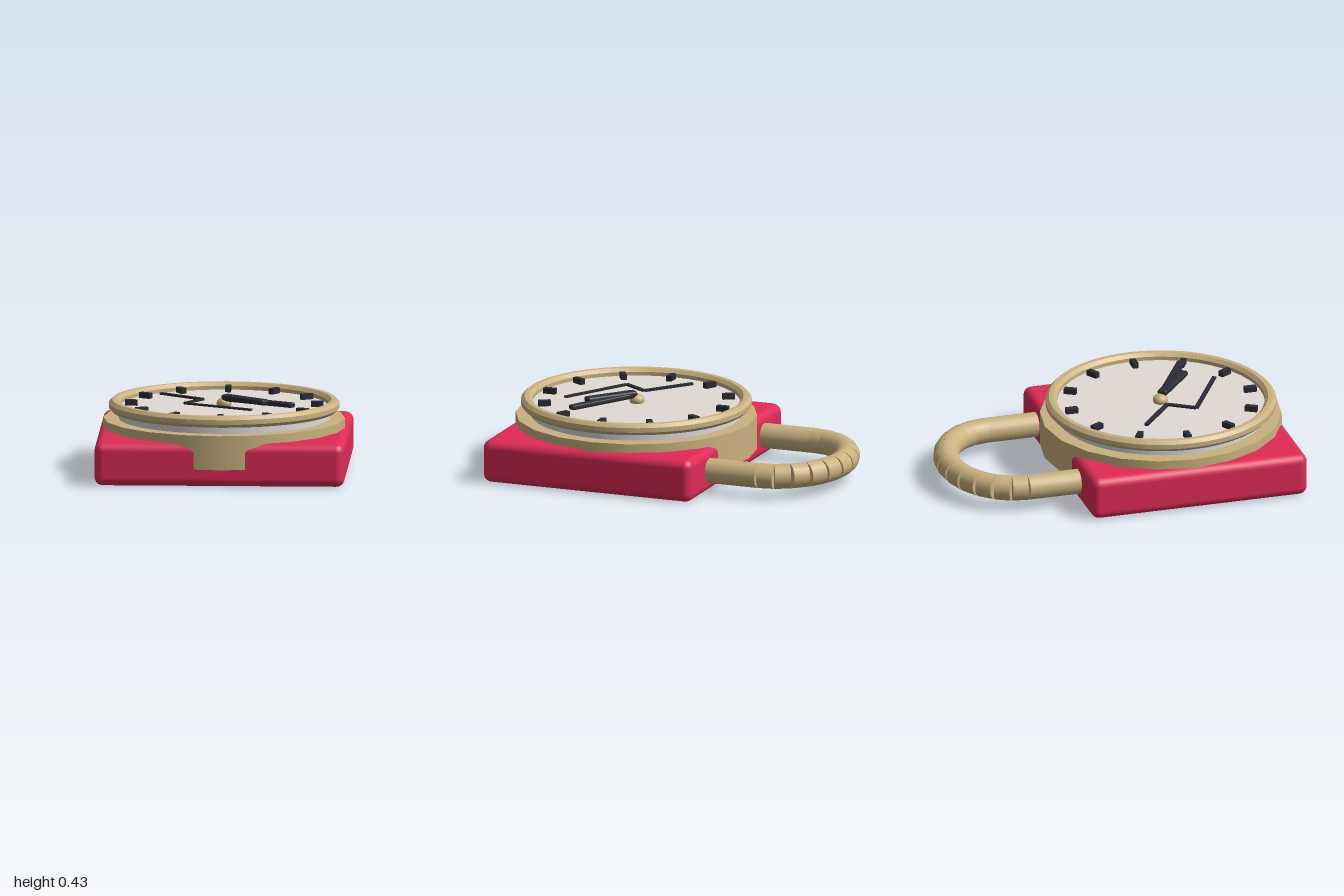
import * as THREE from 'three';
import { RoundedBoxGeometry } from 'three/addons/geometries/RoundedBoxGeometry.js';
import { toCreasedNormals } from 'three/addons/utils/BufferGeometryUtils.js';

const material = (name, color) => {
  const m = new THREE.MeshStandardMaterial({ color });
  m.name = name;
  return m;
};

export function createModel() {
  const red = material('red', 0xe02b56);
  const brass = material('brass', 0xcab280);
  const silver = material('silver', 0xdcdcdc);
  const paleGrey = material('pale grey', 0xe3dad4);
  const black = material('black', 0x2a2c34);

  const model = new THREE.Group();
  model.name = 'padlockClock';
  const add = (parent, name, geometry, mat, x = 0, y = 0, z = 0) => {
    const mesh = new THREE.Mesh(geometry, mat);
    mesh.name = name;
    mesh.position.set(x, y, z);
    parent.add(mesh);
    return mesh;
  };

  // Lock body
  add(model, 'body', new RoundedBoxGeometry(1.412, 0.245, 1.27, 3, 0.048), red, 0, 0.1225, 0.34);

  // Clock, centred on the body
  const clock = new THREE.Group();
  clock.name = 'clock';
  clock.position.z = 0.315;
  model.add(clock);

  add(clock, 'clockBase', new THREE.CylinderGeometry(0.683, 0.683, 0.195, 20), brass, 0, 0.1975);
  add(clock, 'dial', new THREE.CylinderGeometry(0.597, 0.597, 0.07, 48), [silver, paleGrey, silver], 0, 0.325);

  // Bezel: octagonal section with crisp edges
  const section = [];
  for (let i = 0; i <= 8; i++) {
    const a = ((i - 0.5) * Math.PI) / 4;
    section.push(new THREE.Vector2(0.619 + 0.035 * Math.cos(a), 0.035 * Math.sin(a)));
  }
  add(clock, 'bezel', toCreasedNormals(new THREE.LatheGeometry(section, 48), 0.5), brass, 0, 0.368);

  // Hour markers
  for (let i = 0; i < 12; i++) {
    const a = (i * Math.PI) / 6;
    const marker = add(clock, 'hourMarker', new THREE.BoxGeometry(0.032, 0.034, 0.07), black,
      0.525 * Math.sin(a), 0.375, 0.525 * Math.cos(a));
    marker.rotation.y = a;
  }

  // A bar above the dial between two points given as [x, z]
  const bar = (name, [x1, z1], [x2, z2], width, bottom, top, radius) => {
    const length = Math.hypot(x2 - x1, z2 - z1);
    const geometry = radius
      ? new RoundedBoxGeometry(width, top - bottom, length, 2, radius)
      : new THREE.BoxGeometry(width, top - bottom, length);
    const mesh = add(clock, name, geometry, black, (x1 + x2) / 2, (bottom + top) / 2, (z1 + z2) / 2);
    mesh.rotation.y = Math.atan2(x2 - x1, z2 - z1);
  };

  // Zigzag line
  const zigzag = [[-0.365, -0.195], [-0.122, 0], [-0.215, 0.145], [0.168, 0.365]];
  for (let i = 0; i < 3; i++) bar('zigzagLine', zigzag[i], zigzag[i + 1], 0.024, 0.392, 0.404 - i * 0.001);

  // Hands and hub
  bar('minuteHand', [0, 0.005], [0.4, 0.238], 0.044, 0.39, 0.418, 0.008);
  bar('hourHand', [0, 0.005], [0.245, 0.208], 0.058, 0.398, 0.43, 0.012);
  const hub = add(clock, 'hub', new THREE.SphereGeometry(0.043, 20, 12), brass, 0, 0.376, -0.003);
  hub.scale.y = 0.8;

  // Shackle: two straight legs and an arch of short straight links
  const shackle = new THREE.Group();
  shackle.name = 'shackle';
  shackle.position.y = 0.125;
  model.add(shackle);
  const up = new THREE.Vector3(0, 1, 0);
  const rod = (name, p, q) => {
    const d = q.clone().sub(p);
    const mid = p.clone().add(q).multiplyScalar(0.5);
    const mesh = add(shackle, name, new THREE.CylinderGeometry(0.071, 0.071, d.length(), 20), brass, mid.x, mid.y, mid.z);
    mesh.quaternion.setFromUnitVectors(up, d.normalize());
  };
  for (const side of [-1, 1]) {
    rod('shackleLeg', new THREE.Vector3(side * 0.415, 0, -0.25), new THREE.Vector3(side * 0.415, 0, -0.595));
  }
  const archPoint = (i) => {
    const a = (i * Math.PI) / 12;
    return new THREE.Vector3(0.415 * Math.cos(a), 0, -0.595 - 0.335 * Math.sin(a));
  };
  for (let i = 0; i < 12; i++) rod('shackleLink', archPoint(i), archPoint(i + 1));

  return model;
}
